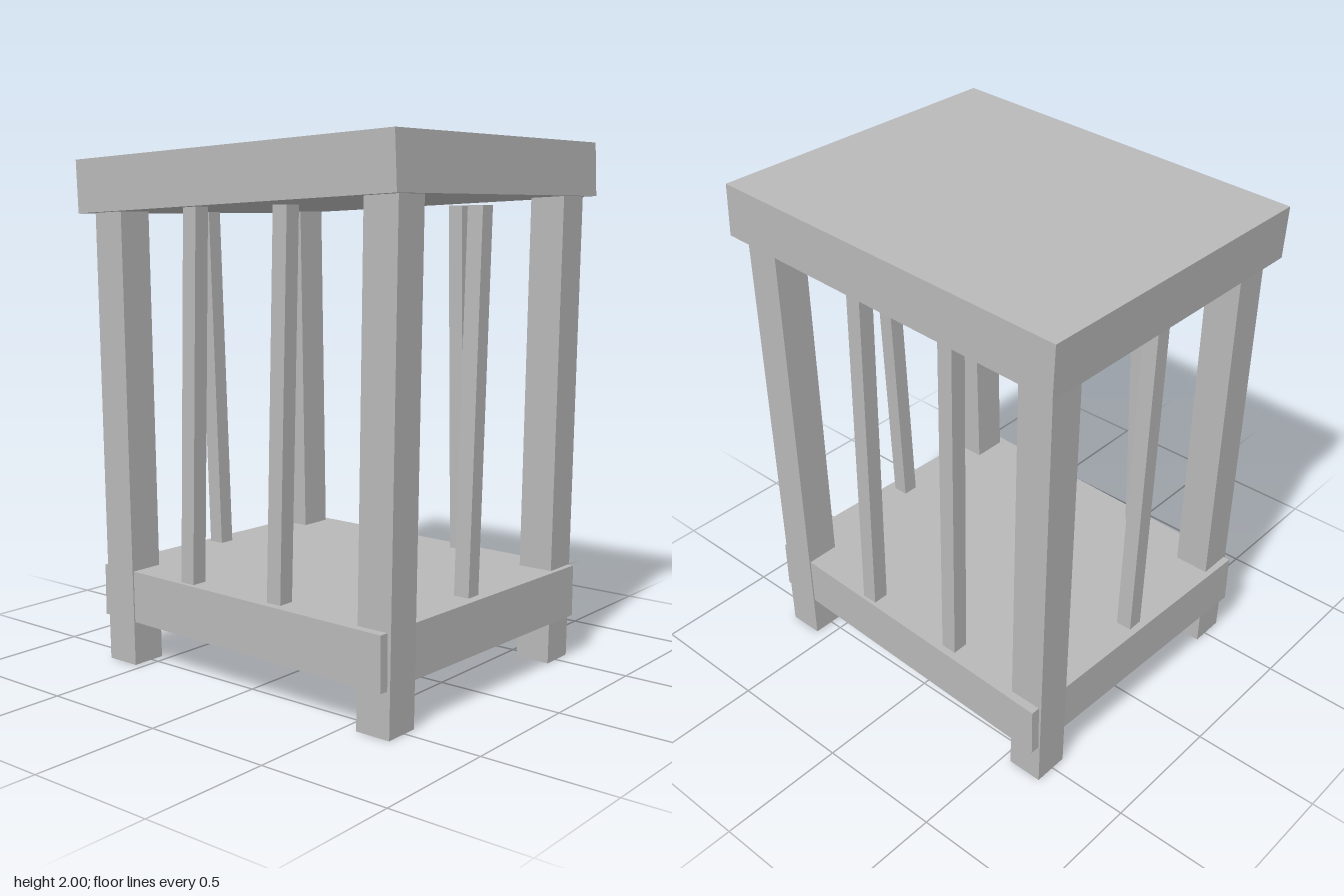
import * as THREE from 'three';

// Box whose underside is left open
function openBox(w, h, d) {
  const geo = new THREE.BoxGeometry(w, h, d);
  const index = Array.from(geo.index.array);
  index.splice(18, 6); // drop the -y face
  geo.setIndex(index);
  geo.clearGroups();
  return geo;
}

// Square post leaning from a bottom centre to a top centre
function leaningPost(size, y0, y1, bottom, top) {
  const geo = openBox(size, y1 - y0, size);
  const p = geo.attributes.position;
  for (let i = 0; i < p.count; i++) {
    const high = p.getY(i) > 0;
    const c = high ? top : bottom;
    p.setXYZ(i, p.getX(i) + c[0], high ? y1 : y0, p.getZ(i) + c[1]);
  }
  geo.computeVertexNormals();
  return geo;
}

export function createModel() {
  const model = new THREE.Group();
  model.name = 'sideTable';
  const grey = new THREE.MeshStandardMaterial({ color: 0xb8b8b8, side: THREE.DoubleSide });
  grey.name = 'grey';

  const add = (name, geo) => {
    const mesh = new THREE.Mesh(geo, grey);
    mesh.name = name;
    model.add(mesh);
    return mesh;
  };

  // Slightly tilted top
  const top = add('tableTop', new THREE.BoxGeometry(1.496, 0.2, 1.266));
  top.position.set(-0.0025, 1.8675, 0);
  top.rotation.z = 0.0435;

  // Slightly turned shelf, hollow underneath
  const shelf = add('shelf', openBox(1.395, 0.2, 1.19));
  shelf.position.set(0.0075, 0.27, 0.0025);
  shelf.rotation.y = -0.0336;

  // Four legs, splayed outward toward the top
  for (const [side, x0, x1] of [['right', -0.605, -0.635], ['left', 0.625, 0.651]]) {
    for (const [end, z] of [['Front', 0.515], ['Back', -0.51]]) {
      add(side + end + 'Leg', leaningPost(0.14, 0, 1.8, [x0, z], [x1, z]));
    }
  }

  // Thin slats: two at front and back, one at each side
  const slats = [
    ['frontRightSlat', [-0.257, 0.54], [-0.218, 0.54]],
    ['frontLeftSlat', [0.172, 0.54], [0.212, 0.54]],
    ['backRightSlat', [-0.215, -0.54], [-0.24, -0.54]],
    ['backLeftSlat', [0.215, -0.54], [0.19, -0.54]],
    ['leftSlat', [0.635, 0.047], [0.645, 0.005]],
    ['rightSlat', [-0.63, 0.0], [-0.64, 0.043]],
  ];
  for (const [name, b, t] of slats) add(name, leaningPost(0.063, 0.365, 1.765, b, t));

  return model;
}
